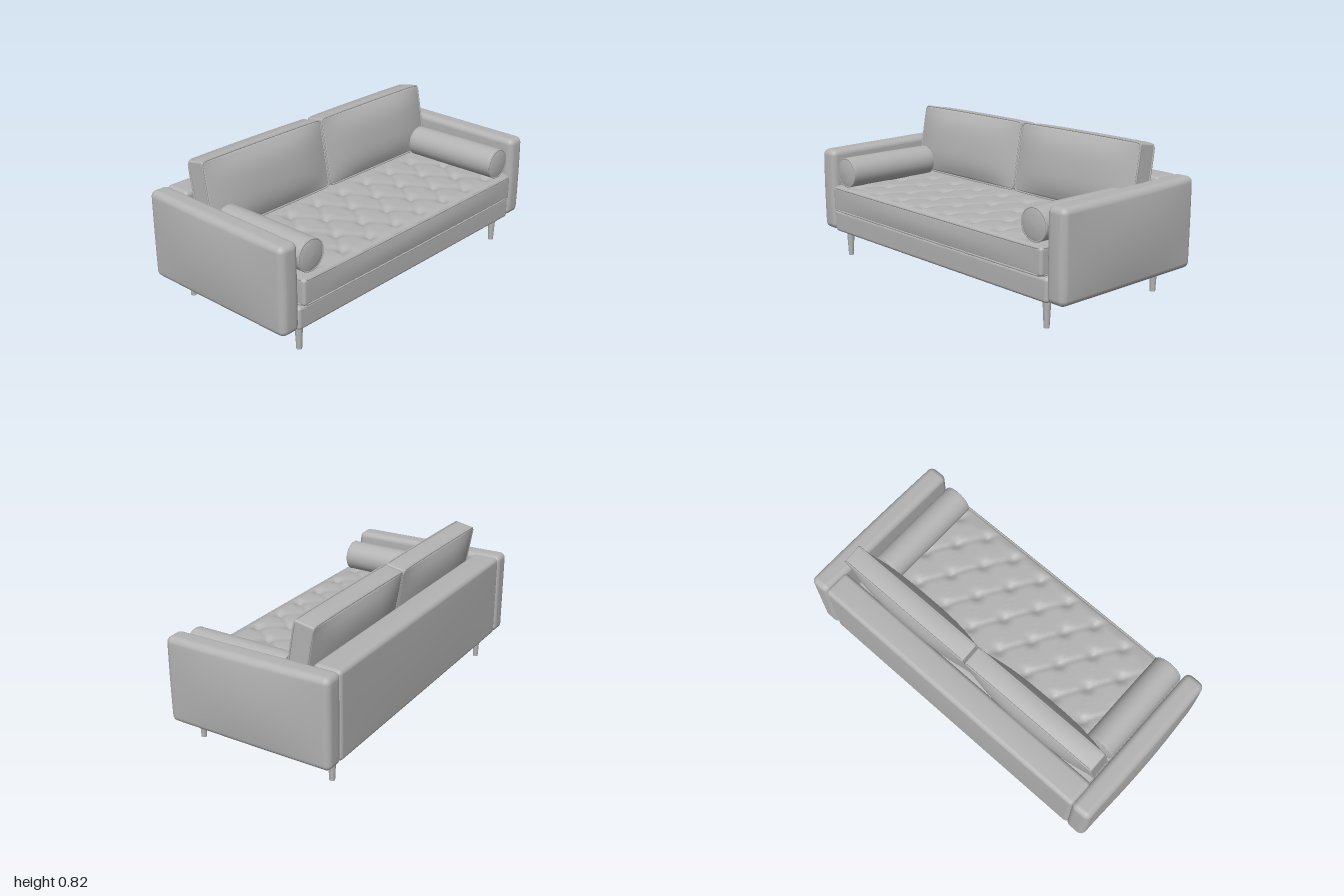
import * as THREE from 'three';
import { mergeVertices } from 'three/addons/utils/BufferGeometryUtils.js';

const fabric = new THREE.MeshStandardMaterial({ color: 0xb3b3b3 });
fabric.name = 'grey fabric';

// Rounded box with evenly subdivided faces; deform(p, u) moves each vertex, u being its place in -1..1
function paddedBox(size, r, segs, deform) {
  const K = 3; // segments per rounded corner
  const n = segs.map((s) => s + 2 * K);
  const geo = new THREE.BoxGeometry(1, 1, 1, ...n);
  geo.deleteAttribute('uv');
  geo.deleteAttribute('normal');
  const pos = geo.attributes.position;
  const place = (t, count, half) => {
    const i = Math.round((t + 0.5) * count);
    const inner = half - r;
    if (i < K) return -inner - r * Math.tan(((K - i) / K) * Math.PI / 4);
    if (i > count - K) return inner + r * Math.tan(((i - count + K) / K) * Math.PI / 4);
    return -inner + (2 * inner * (i - K)) / (count - 2 * K);
  };
  const p = new THREE.Vector3(), q = new THREE.Vector3(), u = new THREE.Vector3();
  const half = new THREE.Vector3(...size).multiplyScalar(0.5);
  const inner = half.clone().subScalar(r);
  for (let i = 0; i < pos.count; i++) {
    p.set(
      place(pos.getX(i), n[0], half.x),
      place(pos.getY(i), n[1], half.y),
      place(pos.getZ(i), n[2], half.z)
    );
    q.copy(p).clamp(inner.clone().negate(), inner);
    p.sub(q).normalize().multiplyScalar(r).add(q);
    u.copy(p).divide(half);
    if (deform) deform(p, u);
    pos.setXYZ(i, p.x, p.y, p.z);
  }
  const smooth = mergeVertices(geo, 1e-5);
  smooth.computeVertexNormals();
  return smooth;
}

// Soft dome that fades to zero at the rim
const dome = (a, b, power = 2) =>
  Math.max(0, 1 - Math.abs(a) ** power) * Math.max(0, 1 - Math.abs(b) ** power);

function part(name, geo, x = 0, y = 0, z = 0) {
  const mesh = new THREE.Mesh(geo, fabric);
  mesh.name = name;
  mesh.position.set(x, y, z);
  return mesh;
}

// Thin cord following a rounded rectangle in the XY plane
function pipingGeometry(w, h, r, thickness) {
  const a = w / 2 - r, b = h / 2 - r;
  const points = [];
  const corners = [[a, b], [-a, b], [-a, -b], [a, -b]];
  corners.forEach(([cx, cy], k) => {
    for (let i = 0; i <= 4; i++) {
      const t = (k + i / 4) * Math.PI / 2;
      points.push(new THREE.Vector3(cx + r * Math.cos(t), cy + r * Math.sin(t), 0));
    }
  });
  const path = new THREE.CatmullRomCurve3(points, true, 'centripetal');
  return new THREE.TubeGeometry(path, 120, thickness, 6, true);
}

export function createModel() {
  const sofa = new THREE.Group();
  sofa.name = 'sofa';

  // Base frame, sagging slightly underneath
  sofa.add(part('baseFrame', paddedBox([1.73, 0.125, 0.925], 0.018, [16, 2, 10], (p, u) => {
    if (u.y < 0) p.y -= 0.007 * dome(u.x, u.z);
  }), 0, 0.2075, -0.005));

  // Backrest panel
  sofa.add(part('backrest', paddedBox([1.73, 0.478, 0.155], 0.024, [16, 8, 3], (p, u) => {
    if (u.y > 0) p.y += 0.006 * dome(u.x, u.z);
    if (u.z < 0) p.z -= 0.005 * dome(u.x, u.y);
  }), 0, 0.389, -0.405));

  // Seat cushion with staggered tufts on top
  const tufts = [];
  [-0.06, 0.1, 0.26, 0.4].forEach((z, row) => {
    for (let x = -0.8 + (row % 2) * 0.1; x <= 0.81; x += 0.2) tufts.push([x, z]);
  });
  const seatZ = 0.08;
  sofa.add(part('seatCushion', paddedBox([1.69, 0.142, 0.79], 0.016, [96, 3, 48], (p, u) => {
    if (u.z > 0.9) p.z += 0.012 * dome(u.x, u.y);
    if (u.y > 0.6) {
      let dip = 0;
      for (const [x, z] of tufts) {
        const dx = Math.abs(p.x - x), dz = Math.abs(p.z + seatZ - z);
        if (dx > 0.12 || dz > 0.12) continue;
        dip += 0.022 * Math.exp(-(dx * dx + dz * dz) / 0.0009);
        // Folds running diagonally between tufts
        const along = Math.abs(dx * 0.848 - dz * 0.53);
        dip += 0.006 * Math.exp(-(along * along) / 0.00012) * Math.max(0, 1 - dx / 0.11);
      }
      p.y += (0.012 - dip) * Math.min(1, 6 * dome(u.x, u.z));
    }
  }), 0, 0.345, seatZ));
  for (const [name, y] of [['seatPipingTop', 0.41], ['seatPipingBottom', 0.28]]) {
    const cord = part(name, pipingGeometry(1.682, 0.784, 0.022, 0.006), 0, y, seatZ);
    cord.rotation.x = Math.PI / 2;
    sofa.add(cord);
  }

  const backGeo = paddedBox([0.832, 0.376, 0.108], 0.009, [18, 12, 4], (p, u) => {
    const puff = dome(u.x, u.y, 3);
    if (u.z > 0.8) p.z += 0.042 * puff;
    if (u.z < -0.8) p.z -= 0.042 * puff;
    if (u.y > 0.9) p.y += 0.01 * dome(u.x, u.z, 4);
  });
  const backCord = pipingGeometry(0.832, 0.376, 0.02, 0.005);

  // Round bolster pillow, lying along z
  const bolsterProfile = [
    [0, -0.297], [0.05, -0.295], [0.076, -0.287], [0.082, -0.286], [0.085, -0.281], [0.085, -0.27],
    [0.086, 0], [0.085, 0.27], [0.085, 0.281], [0.082, 0.286], [0.076, 0.287], [0.05, 0.295], [0, 0.297],
  ].map(([r, y]) => new THREE.Vector2(r, y));
  const bolsterGeo = new THREE.LatheGeometry(bolsterProfile, 36);
  const rimGeo = new THREE.TorusGeometry(0.081, 0.005, 6, 36);

  const legGeo = new THREE.CylinderGeometry(0.022, 0.0145, 0.155, 20);

  for (const side of [1, -1]) {
    const label = side > 0 ? 'left' : 'right';

    // Arm with a bulging outer face
    sofa.add(part(label + 'Arm', paddedBox([0.115, 0.476, 0.945], 0.033, [3, 10, 14], (p, u) => {
      if (u.x * side > 0) p.x += side * 0.022 * dome(u.y, u.z) * Math.min(1, u.x * side * 1.2);
      if (u.y > 0) p.y -= 0.007 * u.z;
      if (u.z > 0) p.z += 0.006 * dome(u.x, u.y);
    }), side * 0.915, 0.387, -0.013));

    // Leaning back cushion with piped edges
    const cushion = new THREE.Group();
    cushion.name = label + 'BackCushion';
    cushion.add(part(label + 'CushionBody', backGeo));
    cushion.add(part(label + 'CushionFrontPiping', backCord, 0, 0, 0.052));
    cushion.add(part(label + 'CushionRearPiping', backCord, 0, 0, -0.052));
    cushion.position.set(side * 0.423, 0.619, -0.238);
    cushion.rotation.x = -0.178;
    sofa.add(cushion);

    // Bolster
    const bolster = new THREE.Group();
    bolster.name = label + 'Bolster';
    const roll = part(label + 'BolsterRoll', bolsterGeo);
    roll.rotation.x = Math.PI / 2;
    bolster.add(roll);
    for (const end of [1, -1]) bolster.add(part(label + 'BolsterPiping', rimGeo, 0, 0, end * 0.284));
    bolster.position.set(side * 0.759, 0.504, 0.153);
    sofa.add(bolster);

    // Tapered legs
    sofa.add(part(label + 'FrontLeg', legGeo, side * 0.805, 0.0775, 0.393));
    sofa.add(part(label + 'RearLeg', legGeo, side * 0.805, 0.0775, -0.395));
  }

  return sofa;
}
